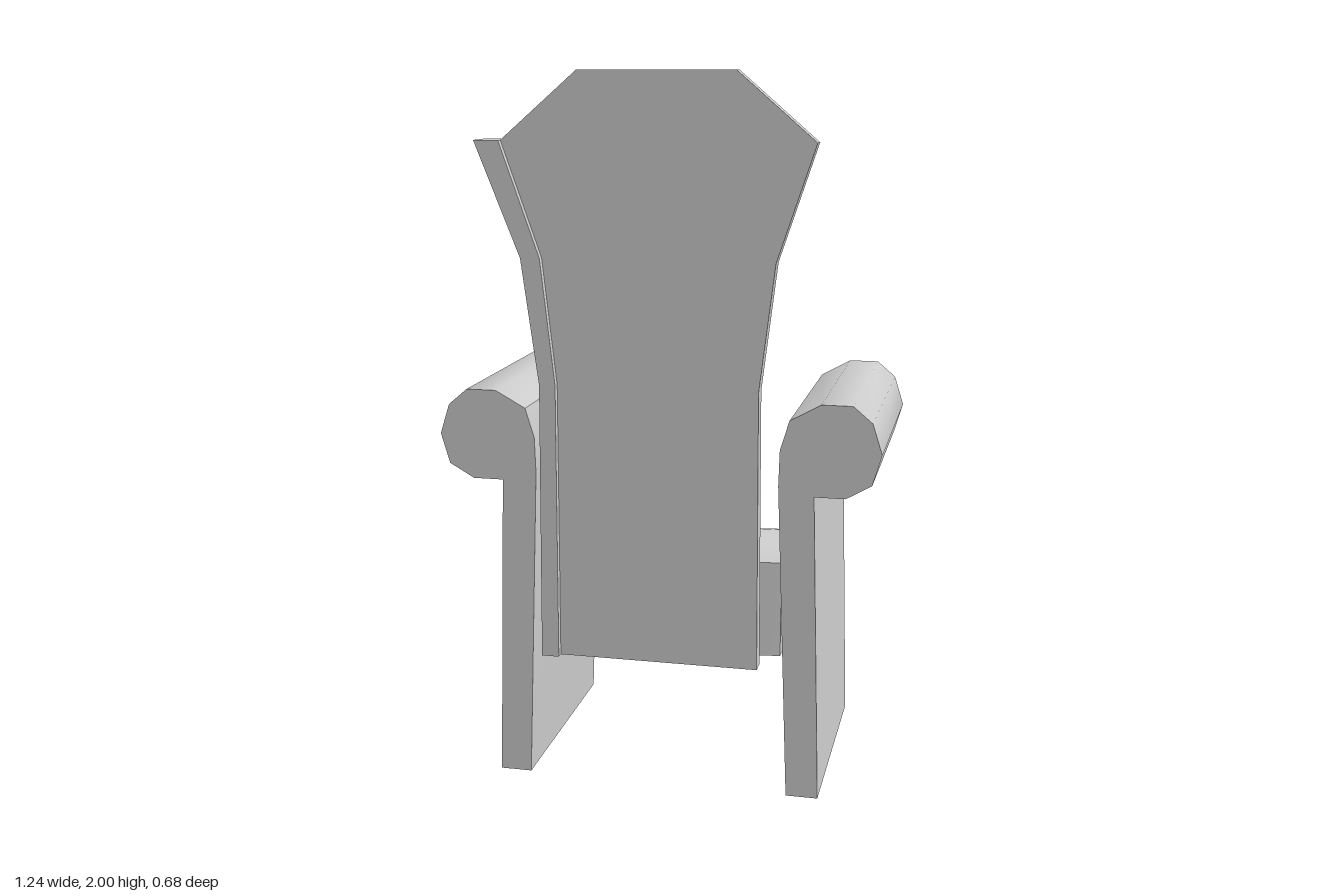
import * as THREE from 'three';
import { toCreasedNormals } from 'three/addons/utils/BufferGeometryUtils.js';

const material = new THREE.MeshStandardMaterial({ color: 0xcccccc, side: THREE.DoubleSide });

function add(group, name, geometry) {
  const mesh = new THREE.Mesh(geometry, material);
  mesh.name = name;
  group.add(mesh);
}

// Flat outline in x/y, extruded from z0 to z1
function slab(points, z0, z1) {
  const shape = new THREE.Shape(points.map(([x, y]) => new THREE.Vector2(x, y)));
  const geometry = new THREE.ExtrudeGeometry(shape, { depth: z1 - z0, bevelEnabled: false });
  geometry.translate(0, 0, z0);
  return toCreasedNormals(geometry, 0.75);
}

// Underside of the seat front: lowest in the middle
const sag = (x) => 0.26 + 0.118 * Math.pow(Math.abs(x) / 0.345, 1.5);

// Cushion: a subdivided box whose top and bottom follow the seat curves
function cushionGeometry() {
  const geometry = new THREE.BoxGeometry(1, 1, 1, 12, 4, 16);
  const p = geometry.attributes.position;
  for (let i = 0; i < p.count; i++) {
    const x = p.getX(i) * 0.68;
    const t = p.getZ(i) + 0.5;
    const side = Math.pow(Math.abs(x) / 0.34, 2);
    const end = 0.245 + 0.02 * (1 - side);
    const bottom = THREE.MathUtils.lerp(sag(x) + 0.005, 0.38, t);
    const crown = 0.655 + 0.035 * Math.sin(Math.PI * t) * (1 - side);
    const top = crown - (0.22 - 0.18 * side) * Math.pow(1 - t, 4);
    p.setXYZ(i, x, THREE.MathUtils.lerp(bottom, top, p.getY(i) + 0.5),
      THREE.MathUtils.lerp(-0.3, end, t));
  }
  geometry.computeVertexNormals();
  return geometry;
}

export function createModel() {
  const chair = new THREE.Group();
  chair.name = 'scrollArmChair';

  // Arm panels with a rolled top
  const arm = [
    [0.375, 0], [0.465, 0], [0.44, 0.875], [0.525, 0.875], [0.595, 0.915], [0.62, 1.0],
    [0.593, 1.085], [0.54, 1.13], [0.455, 1.13], [0.37, 1.083], [0.345, 1.0], [0.342, 0.9],
  ];
  for (const side of [1, -1]) {
    add(chair, side > 0 ? 'leftArm' : 'rightArm',
      slab(arm.map(([x, y]) => [x * side, y]), -0.34, 0.335));
  }

  // Flared back panel
  const edge = [[0.285, 0.36], [0.282, 1.15], [0.325, 1.5], [0.43, 1.815], [0.215, 2.0]];
  const mirrored = edge.map(([x, y]) => [-x, y]).reverse();
  add(chair, 'backrest', slab([...edge, ...mirrored], 0.27, 0.315));

  // Trim along one edge of the back
  add(chair, 'backTrim', slab([
    [-0.335, 0.36], [-0.328, 1.15], [-0.375, 1.5], [-0.5, 1.815],
    [-0.43, 1.815], [-0.32, 1.5], [-0.282, 1.15], [-0.285, 0.36],
  ], 0.245, 0.335));

  // Seat cushion and the curved rail under its front
  add(chair, 'seatCushion', cushionGeometry());
  const xs = [-0.345, -0.29, -0.18, 0, 0.18, 0.29, 0.345];
  const lower = xs.map((x) => [x, sag(x)]);
  const upper = xs.map((x) => [x, sag(x) + 0.036]).reverse();
  add(chair, 'seatFrontRail', slab([...lower, ...upper], -0.34, -0.295));

  return chair;
}
